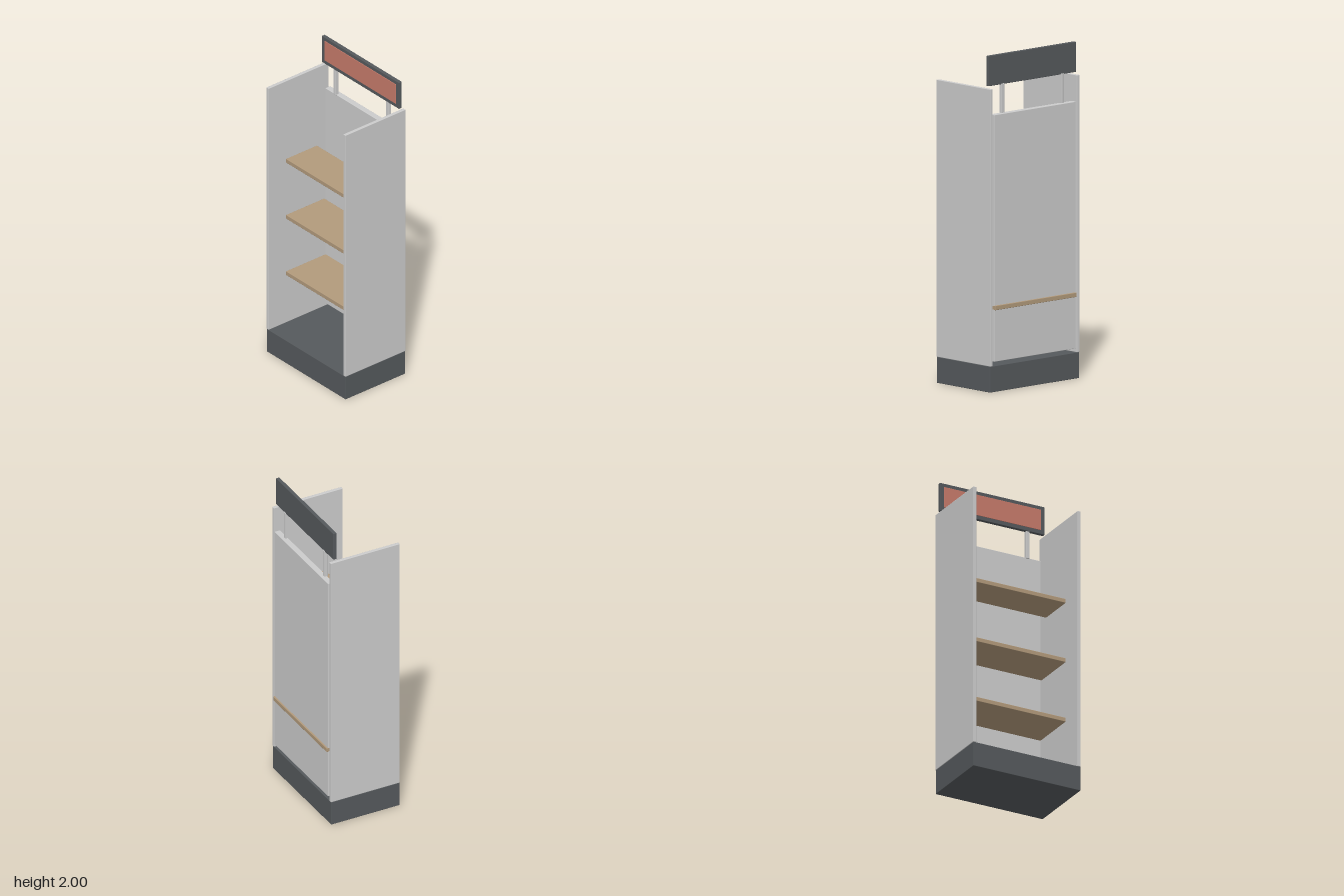
import * as THREE from 'three';
import { RoundedBoxGeometry } from 'three/addons/geometries/RoundedBoxGeometry.js';

const grey = new THREE.MeshStandardMaterial({ color: 0xcccccc });
const dark = new THREE.MeshStandardMaterial({ color: 0x55595c });
const wood = new THREE.MeshStandardMaterial({ color: 0xb29a7b });
const red = new THREE.MeshStandardMaterial({ color: 0xc67a6a });

// Softly bevelled board given by its extents on each axis
function board(name, material, [x0, x1], [y0, y1], [z0, z1], bevel = 0.003) {
  const geometry = new RoundedBoxGeometry(x1 - x0, y1 - y0, z1 - z0, 2, bevel);
  const mesh = new THREE.Mesh(geometry, material);
  mesh.name = name;
  mesh.position.set((x0 + x1) / 2, (y0 + y1) / 2, (z0 + z1) / 2);
  return mesh;
}

export function createModel() {
  const model = new THREE.Group();
  model.name = 'displayShelf';

  // Plinth and back panel, with a narrow gap between them
  model.add(board('base', dark, [-0.359, 0.359], [0, 0.155], [-0.222, 0.234]));
  model.add(board('backPanel', grey, [-0.328, 0.328], [0.18, 1.65], [-0.227, -0.19]));

  // Side panels and sign posts, mirrored
  for (const [side, s] of [['left', 1], ['right', -1]]) {
    const panelX = [0.339, 0.36].map((x) => x * s).sort((a, b) => a - b);
    model.add(board(side + 'SidePanel', grey, panelX, [0.155, 1.805], [-0.225, 0.235]));
    const postX = [0.228, 0.251].map((x) => x * s).sort((a, b) => a - b);
    model.add(board(side + 'SignPost', grey, postX, [1.645, 1.825], [-0.207, -0.185]));
  }

  // Shelves share a front edge and get deeper towards the bottom
  const shelves = [
    ['lowerShelf', 0.488, -0.236],
    ['middleShelf', 0.873, -0.181],
    ['upperShelf', 1.256, -0.125],
  ];
  for (const [name, y, back] of shelves) {
    model.add(board(name, wood, [-0.328, 0.328], [y, y + 0.027], [back, 0.112]));
  }

  // Header sign with a coloured face
  const sign = new THREE.Group();
  sign.name = 'headerSign';
  sign.add(board('signBoard', dark, [-0.351, 0.351], [1.82, 2], [-0.204, -0.182]));
  sign.add(board('signFace', red, [-0.325, 0.325], [1.845, 1.977], [-0.19, -0.179], 0.001));
  model.add(sign);

  return model;
}
